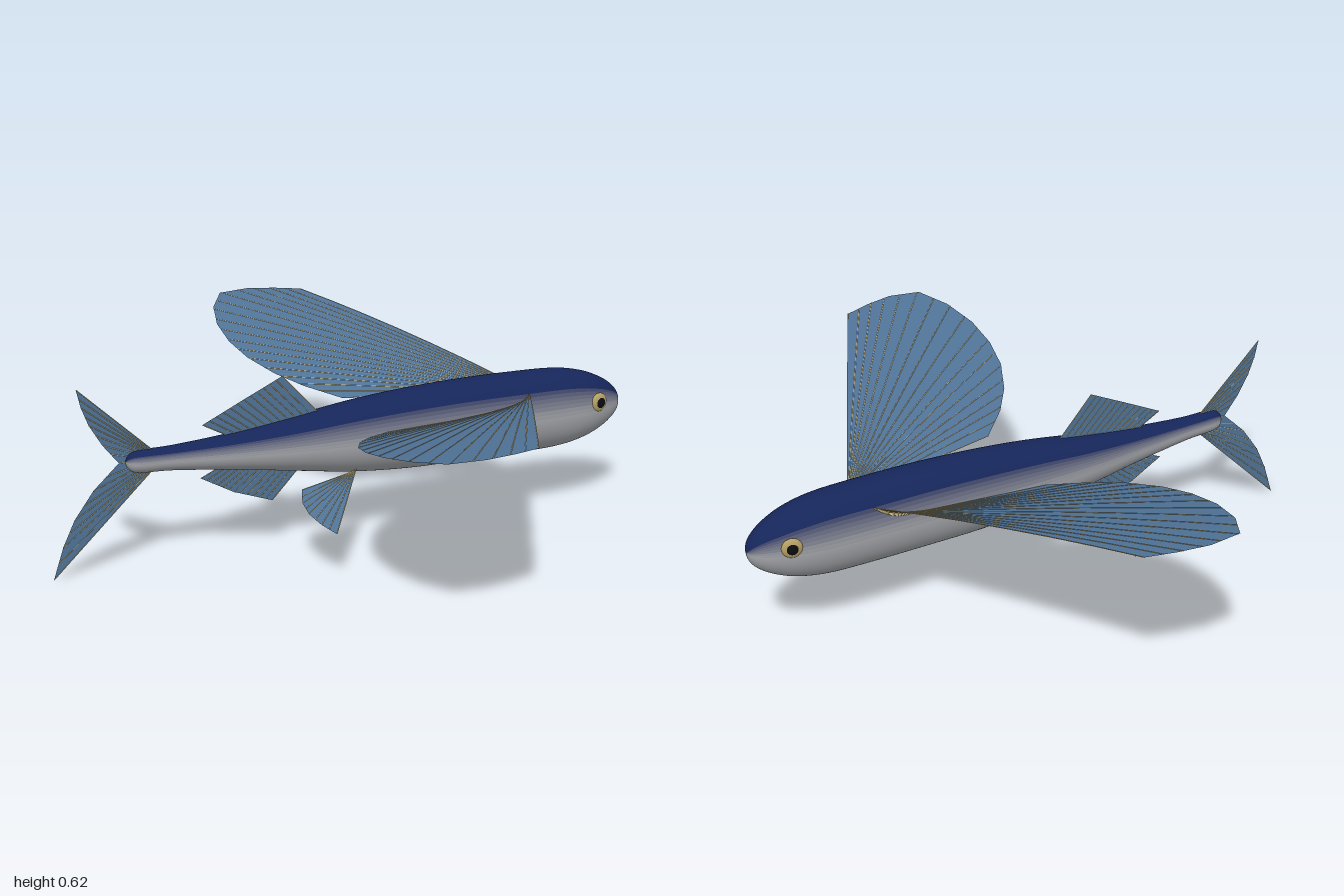
import * as THREE from 'three';
import { mergeGeometries } from 'three/addons/utils/BufferGeometryUtils.js';

const material = (color, side = THREE.FrontSide) => new THREE.MeshStandardMaterial({ color, side });
const membraneMat = material(0x507397, THREE.DoubleSide);
const rayMat = material(0xd0b980);

function addMesh(parent, name, geometry, mat) {
  const mesh = new THREE.Mesh(geometry, mat);
  mesh.name = name;
  parent.add(mesh);
  return mesh;
}

// Point at u (0..1) along a polyline, spaced evenly by corner
function along(points, u) {
  const f = u * (points.length - 1);
  const i = Math.min(Math.floor(f), points.length - 2);
  return points[i].clone().lerp(points[i + 1], f - i);
}

// Fin: a membrane from its base line to its outer edge, with rays across it.
// Camber arches the leading side upward and fades towards the trailing side.
function addFin(parent, name, base, edge, rays, camber = 0) {
  const fin = new THREE.Group();
  fin.name = name;
  const rayCurve = (u) => {
    const a = along(base, u), b = along(edge, u);
    const mid = a.clone().lerp(b, 0.5);
    mid.y += 2 * camber * (1 - u);
    return new THREE.QuadraticBezierCurve3(a, mid, b);
  };
  const steps = (edge.length - 1) * 4, across = 6;
  const positions = [], index = [];
  for (let i = 0; i <= steps; i++) {
    const curve = rayCurve(i / steps);
    for (let j = 0; j <= across; j++) {
      positions.push(...curve.getPoint(j / across).toArray());
      const p = i * (across + 1) + j, q = p + across + 1;
      if (i < steps && j < across) index.push(p, p + 1, q, q, p + 1, q + 1);
    }
  }
  const geo = new THREE.BufferGeometry();
  geo.setAttribute('position', new THREE.Float32BufferAttribute(positions, 3));
  geo.setIndex(index);
  geo.computeVertexNormals();
  addMesh(fin, 'membrane', geo, membraneMat);
  const rods = Array.from({ length: rays }, (_, r) =>
    new THREE.TubeGeometry(rayCurve(r / (rays - 1)), across, 0.0014, 5));
  addMesh(fin, 'rays', mergeGeometries(rods), rayMat);
  parent.add(fin);
}

// Body: elliptical rings along x, divided into bands shading from back to belly
function addBody(parent) {
  // x, centre height, half height, half width
  const stations = [
    [-0.755, 0.365, 0, 0], [-0.745, 0.365, 0.022, 0.022], [-0.715, 0.363, 0.036, 0.036],
    [-0.6, 0.36, 0.04, 0.04], [-0.4, 0.355, 0.06, 0.06], [-0.2, 0.353, 0.088, 0.085],
    [0, 0.353, 0.118, 0.1], [0.2, 0.355, 0.135, 0.108], [0.4, 0.359, 0.14, 0.113],
    [0.6, 0.36, 0.14, 0.114], [0.75, 0.36, 0.136, 0.108], [0.85, 0.36, 0.118, 0.095],
    [0.92, 0.36, 0.09, 0.073], [0.965, 0.36, 0.06, 0.049], [0.988, 0.36, 0.032, 0.027],
    [0.997, 0.36, 0, 0],
  ];
  const spline = (pick) => new THREE.CatmullRomCurve3(
    stations.map((s) => new THREE.Vector3(...pick(s))), false, 'catmullrom', 0.5);
  const spine = spline((s) => [s[0], s[1], 0]);
  const girth = spline((s) => [0, s[2], s[3]]);
  const rows = 90, ring = 64, shades = 10;
  const positions = [], all = [];
  const bands = Array.from({ length: shades }, () => []);
  for (let i = 0; i <= rows; i++) {
    const c = spine.getPoint(i / rows), g = girth.getPoint(i / rows);
    for (let j = 0; j < ring; j++) {
      const a = (j / ring) * Math.PI * 2;
      positions.push(c.x, c.y + g.y * Math.sin(a), g.z * Math.cos(a));
      if (i === rows) continue;
      const n = (j + 1) % ring;
      const p = i * ring + j, q = i * ring + n;
      const quad = [p, p + ring, q, q, p + ring, q + ring];
      const height = Math.sin(((j + 0.5) / ring) * Math.PI * 2);
      const t = THREE.MathUtils.clamp((height + 0.05) / 0.72, 0, 1);
      bands[Math.round(t * (shades - 1))].push(...quad);
      all.push(...quad);
    }
  }
  const whole = new THREE.BufferGeometry();
  whole.setAttribute('position', new THREE.Float32BufferAttribute(positions, 3));
  whole.setIndex(all);
  whole.computeVertexNormals();

  const body = new THREE.Group();
  body.name = 'body';
  const belly = new THREE.Color(0xa2a4a8), back = new THREE.Color(0x16265a);
  bands.forEach((index, k) => {
    const geo = new THREE.BufferGeometry();
    geo.setAttribute('position', whole.attributes.position);
    geo.setAttribute('normal', whole.attributes.normal);
    geo.setIndex(index);
    const name = k === 0 ? 'belly' : k === shades - 1 ? 'back' : `flankBand${k}`;
    addMesh(body, name, geo, material(belly.clone().lerp(back, k / (shades - 1))));
  });
  parent.add(body);
}

// Eye: flattened gold ball with a dark pupil, turned slightly forward
function addEye(parent, name, side) {
  const eye = new THREE.Group();
  eye.name = name;
  const iris = addMesh(eye, 'iris', new THREE.SphereGeometry(0.033, 28, 20), material(0xb5a064));
  const pupil = addMesh(eye, 'pupil', new THREE.SphereGeometry(0.02, 24, 16), material(0x0c0c10));
  iris.scale.z = pupil.scale.z = 0.42;
  pupil.position.z = side * 0.008;
  eye.position.set(0.88, 0.385, side * 0.082);
  eye.rotation.y = side * 0.25;
  parent.add(eye);
}

export function createModel() {
  const model = new THREE.Group();
  model.name = 'flyingFish';
  addBody(model);

  // Wing outline as x, z from the leading tip round to the trailing corner
  const wingEdge = [
    [0.19, 0.95], [0.1, 0.98], [0, 1], [-0.11, 0.985], [-0.17, 0.88], [-0.2, 0.75],
    [-0.2, 0.62], [-0.175, 0.5], [-0.12, 0.38], [-0.05, 0.285], [0.05, 0.19],
  ];
  const pelvicEdge = [[-0.185, 0.355], [-0.215, 0.3], [-0.233, 0.24], [-0.233, 0.18], [-0.21, 0.115]];

  for (const [label, side] of [['right', 1], ['left', -1]]) {
    addEye(model, `${label}Eye`, side);

    // Wing-like pectoral fin, rising outward with its trailing edge lower
    const wing = wingEdge.map(([x, z], i) => {
      const drop = i / (wingEdge.length - 1), out = (z - 0.1) / 0.9;
      const y = THREE.MathUtils.lerp(0.455 + 0.152 * out, 0.4 + 0.205 * out, drop);
      return new THREE.Vector3(x, y, side * z);
    });
    const wingRoot = [
      new THREE.Vector3(0.61, 0.45, side * 0.09),
      new THREE.Vector3(0.56, 0.405, side * 0.1),
    ];
    addFin(model, `${label}PectoralFin`, wingRoot, wing, 18, 0.012);

    // Small pelvic fin, sloping down and out
    const pelvic = pelvicEdge.map(([x, z]) =>
      new THREE.Vector3(x, 0.245 - 0.075 * (z - 0.08) / 0.275, side * z));
    const pelvicRoot = [
      new THREE.Vector3(0, 0.258, side * 0.06),
      new THREE.Vector3(-0.03, 0.255, side * 0.075),
    ];
    addFin(model, `${label}PelvicFin`, pelvicRoot, pelvic, 9);
  }

  // Upright fins on the centre line: base and outer edge as x, y
  const uprightFins = {
    dorsalFin: [[[-0.1, 0.44], [-0.4, 0.4]],
      [[-0.23, 0.585], [-0.36, 0.523], [-0.5, 0.455]], 13],
    analFin: [[[-0.17, 0.275], [-0.43, 0.315]],
      [[-0.27, 0.168], [-0.4, 0.215], [-0.51, 0.277]], 13],
    upperTailFin: [[[-0.66, 0.39], [-0.68, 0.365]],
      [[-0.9, 0.62], [-0.887, 0.56], [-0.865, 0.5], [-0.825, 0.43], [-0.775, 0.365]], 9],
    lowerTailFin: [[[-0.66, 0.335], [-0.68, 0.365]],
      [[-1, 0.005], [-0.965, 0.11], [-0.925, 0.195], [-0.86, 0.285], [-0.775, 0.365]], 9],
  };
  for (const [name, [base, edge, rays]] of Object.entries(uprightFins)) {
    const toPoints = (list) => list.map(([x, y]) => new THREE.Vector3(x, y, 0));
    addFin(model, name, toPoints(base), toPoints(edge), rays);
  }
  return model;
}
